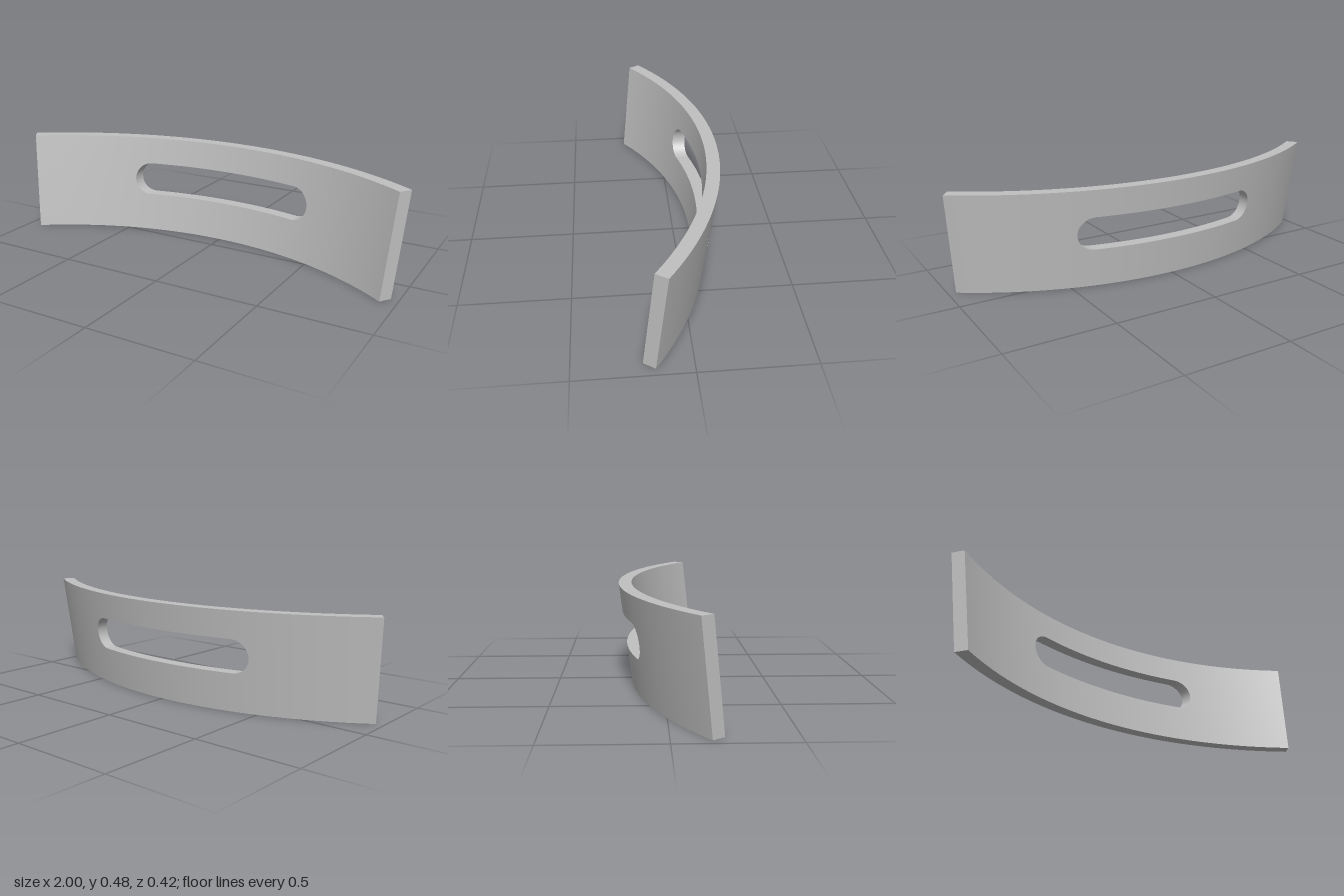
import * as THREE from 'three';
import { ParametricGeometry } from 'three/addons/geometries/ParametricGeometry.js';

const H = 0.476;                       // panel height
const R_BOTTOM = 1.678, R_TOP = 1.74;  // outer radius of the flared wall
const THICK = 0.0615;
const CENTRE_Z = 1.532;
const HALF_ANGLE = Math.asin(1 / R_TOP);
const SLOT_Y = 0.265, SLOT_R = 0.08, SLOT_X = 0.4;

const radius = (y, t) => R_BOTTOM + (R_TOP - R_BOTTOM) * y / H - THICK * (1 - t);

// Point on the wall: u runs along x (0..1), y is height, t is 0 inside and 1 outside
function wallPoint(u, y, t, target) {
  const r = radius(y, t);
  const side = u < 0.5 ? -1 : 1;
  const d = Math.abs(u - 0.5);
  let x;
  if (d <= 0.2) x = SLOT_X * d / 0.2;
  else if (d <= 0.3) x = SLOT_X + SLOT_R * Math.sin((d - 0.2) / 0.1 * Math.PI / 2);
  else x = THREE.MathUtils.lerp(SLOT_X + SLOT_R, r * Math.sin(HALF_ANGLE), (d - 0.3) / 0.2);
  target.set(side * x, y, CENTRE_Z - Math.sqrt(r * r - x * x));
}

// Half height of the slot at u
function slotHalf(u) {
  const d = Math.abs(u - 0.5);
  if (d <= 0.2) return SLOT_R;
  return d < 0.3 ? SLOT_R * Math.cos((d - 0.2) / 0.1 * Math.PI / 2) : 0;
}

export function createModel() {
  const group = new THREE.Group();
  group.name = 'curvedSlottedPanel';
  const material = new THREE.MeshStandardMaterial({ color: 0xc0c0c0 });
  material.name = 'plain grey';

  function patch(name, nu, nv, flip, fn) {
    const geometry = new ParametricGeometry(
      (u, v, target) => fn(flip ? 1 - u : u, v, target), nu, nv);
    const mesh = new THREE.Mesh(geometry, material);
    mesh.name = name;
    group.add(mesh);
  }

  // Curved faces, split above and below the slot
  for (const [name, t] of [['innerFace', 0], ['outerFace', 1]]) {
    patch(name + 'Lower', 80, 6, t === 1, (u, v, p) =>
      wallPoint(u, v * (SLOT_Y - slotHalf(u)), t, p));
    patch(name + 'Upper', 80, 6, t === 1, (u, v, p) =>
      wallPoint(u, THREE.MathUtils.lerp(SLOT_Y + slotHalf(u), H, v), t, p));
  }

  // Top and bottom rims
  patch('topRim', 80, 1, false, (u, v, p) => wallPoint(u, H, v, p));
  patch('bottomRim', 80, 1, true, (u, v, p) => wallPoint(u, 0, v, p));

  // Slot floor and ceiling, including the rounded ends
  for (const [name, s] of [['slotFloor', -1], ['slotCeiling', 1]]) {
    patch(name, 48, 1, s === 1, (u, v, p) => {
      const w = 0.2 + 0.6 * u;
      wallPoint(w, SLOT_Y + s * slotHalf(w), v, p);
    });
  }

  // Flat ends
  patch('leftEnd', 1, 1, false, (u, v, p) => wallPoint(1, u * H, 1 - v, p));
  patch('rightEnd', 1, 1, true, (u, v, p) => wallPoint(0, u * H, 1 - v, p));

  return group;
}
